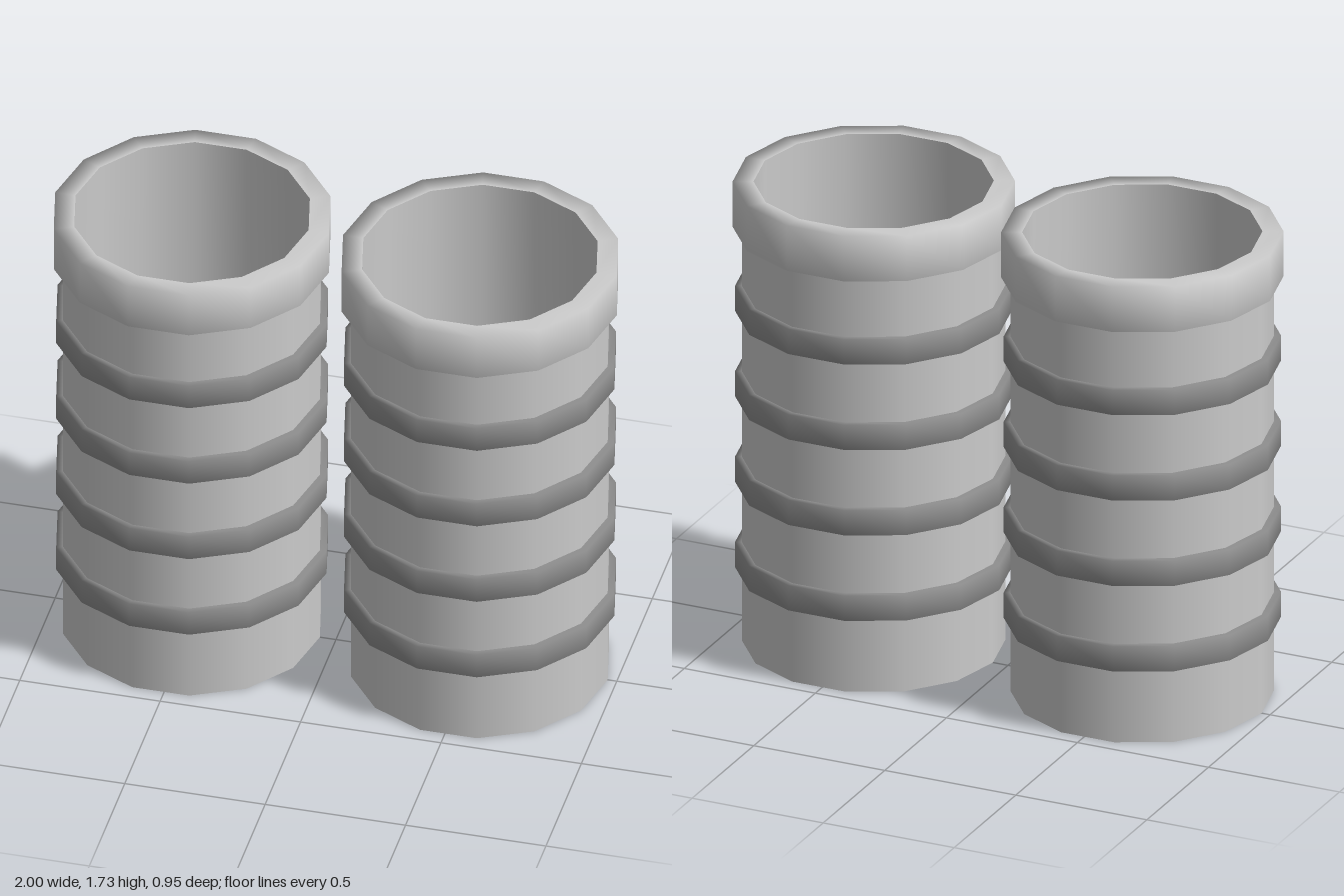
import * as THREE from 'three';

const SIDES = 14;

// Revolves [radius, height] pairs into a 14-sided part with corners on the x axis.
function ring(name, profile, color = 0xcccccc) {
  const points = profile.map(([r, y]) => new THREE.Vector2(r, y));
  const geometry = new THREE.LatheGeometry(points, SIDES, Math.PI / 2);
  const material = new THREE.MeshStandardMaterial({ color, side: THREE.DoubleSide });
  const mesh = new THREE.Mesh(geometry, material);
  mesh.name = name;
  return mesh;
}

function createTube() {
  const tube = new THREE.Group();

  // Thin open wall: outside, bottom edge and inside, narrowing towards the mouth
  tube.add(ring('outerWall', [[0.455, 0], [0.455, 1.6]]));
  tube.add(ring('bottomEdge', [[0.442, 0], [0.455, 0]]));
  tube.add(ring('innerWall', [[0.415, 1.73], [0.442, 0]]));

  // Thick collar around the mouth
  tube.add(ring('collar', [[0.45, 1.56], [0.4875, 1.56], [0.4875, 1.73], [0.415, 1.73]]));

  // Four evenly spaced darker bands
  for (let i = 0; i < 4; i++) {
    const y = 0.277 + i * 0.322;
    tube.add(ring('band', [[0.45, y], [0.479, y], [0.479, y + 0.094], [0.45, y + 0.094]], 0x909090));
  }
  return tube;
}

export function createModel() {
  const model = new THREE.Group();
  model.name = 'twinTubes';
  for (const side of [-1, 1]) {
    const tube = createTube();
    tube.name = side > 0 ? 'leftTube' : 'rightTube';
    tube.position.x = side * 0.5125;
    model.add(tube);
  }
  return model;
}
